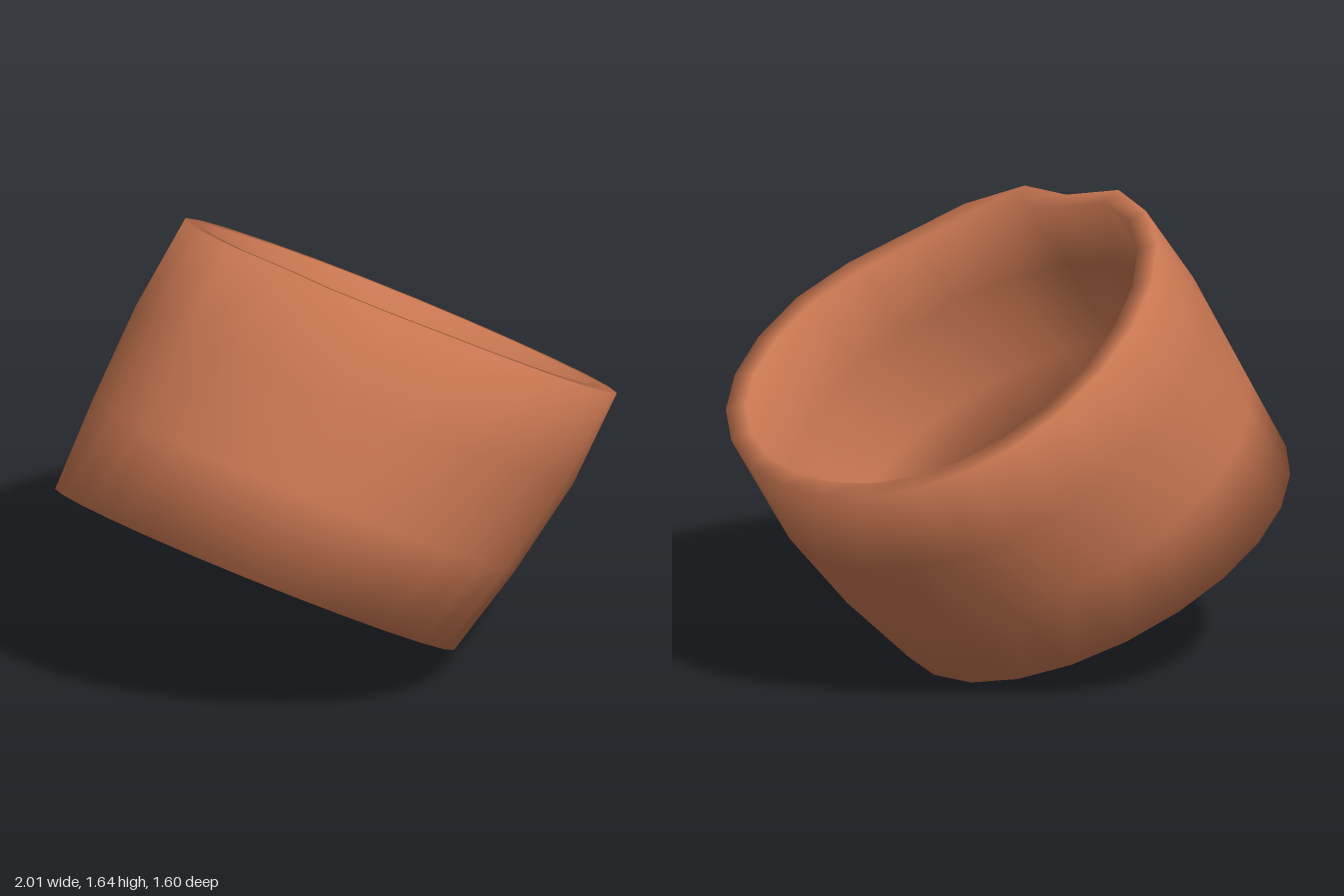
import * as THREE from 'three';

const SIDES = 24;

// Cross-sections along the band's axis. frontEgg and backEgg slide the widest
// point of each half along u; dent is the strength of the rim's dents.
const OUTER = [
  { h: 0.16, u0: -1.24, u1: 0.29, z: 0.72, frontEgg: 0, backEgg: -0.08, dent: 0 },
  { h: 0.5, u0: -1.245, u1: 0.397, z: 0.765, frontEgg: 0.02, backEgg: -0.03, dent: 0 },
  { h: 0.86, u0: -1.244, u1: 0.472, z: 0.8, frontEgg: 0.05, backEgg: 0.04, dent: 0.1 },
  { h: 1.211, u0: -1.205, u1: 0.472, z: 0.8, frontEgg: 0.1, backEgg: 0.1, dent: 1 },
];

// Inward dents on the upper rim, by side number
const DENTS = { 7: 0.025, 8: 0.05, 9: 0.015, 11: 0.085 };

// The inner wall follows the outer one, inset by the wall thickness
function innerSection(s) {
  const wall = 0.07;
  return { ...s, u0: s.u0 + wall, u1: s.u1 - wall, z: s.z - wall - 0.018 * s.dent };
}

// Smooth normals that count every face equally, so the rim shades as rounded
function softNormals(positions, indices) {
  const normals = positions.map(() => 0);
  const triangle = new THREE.Triangle();
  const n = new THREE.Vector3();
  for (let i = 0; i < indices.length; i += 3) {
    const corners = indices.slice(i, i + 3);
    triangle.setFromPointsAndIndices(
      corners.map((c) => new THREE.Vector3().fromArray(positions, c * 3)), 0, 1, 2);
    triangle.getNormal(n);
    for (const c of corners) {
      normals[c * 3] += n.x;
      normals[c * 3 + 1] += n.y;
      normals[c * 3 + 2] += n.z;
    }
  }
  return normals;
}

// Closed loft: up the outside, over the rim, down the inside, under the lower edge
function bandGeometry() {
  const sections = [...OUTER, ...OUTER.map(innerSection).reverse()];
  const positions = [];
  const indices = [];
  sections.forEach(({ h, u0, u1, z, frontEgg, backEgg, dent }, i) => {
    for (let j = 0; j < SIDES; j++) {
      const t = (j / SIDES) * Math.PI * 2;
      const sin = Math.sin(t);
      const k = 1 - dent * (DENTS[j] || 0);
      const egg = (sin > 0 ? frontEgg : backEgg) * sin * sin;
      positions.push((u0 + u1) / 2 + ((u1 - u0) / 2) * k * Math.cos(t) + egg, h, z * k * sin);
      const next = (i + 1) % sections.length;
      const a = i * SIDES + j;
      const b = next * SIDES + j;
      const c = next * SIDES + ((j + 1) % SIDES);
      const d = i * SIDES + ((j + 1) % SIDES);
      indices.push(a, b, d, b, c, d);
    }
  });
  const geometry = new THREE.BufferGeometry();
  geometry.setAttribute('position', new THREE.Float32BufferAttribute(positions, 3));
  geometry.setAttribute('normal', new THREE.Float32BufferAttribute(softNormals(positions, indices), 3));
  geometry.setIndex(indices);
  geometry.normalizeNormals();
  return geometry;
}

export function createModel() {
  const clay = new THREE.MeshStandardMaterial({ color: 0xc67550 });
  clay.name = 'terracotta';

  // Open band leaning over to its left
  const band = new THREE.Mesh(bandGeometry(), clay);
  band.name = 'band';
  band.rotation.z = -Math.atan2(0.484, 0.875);

  const model = new THREE.Group();
  model.name = 'tiltedBand';
  model.add(band);
  return model;
}
